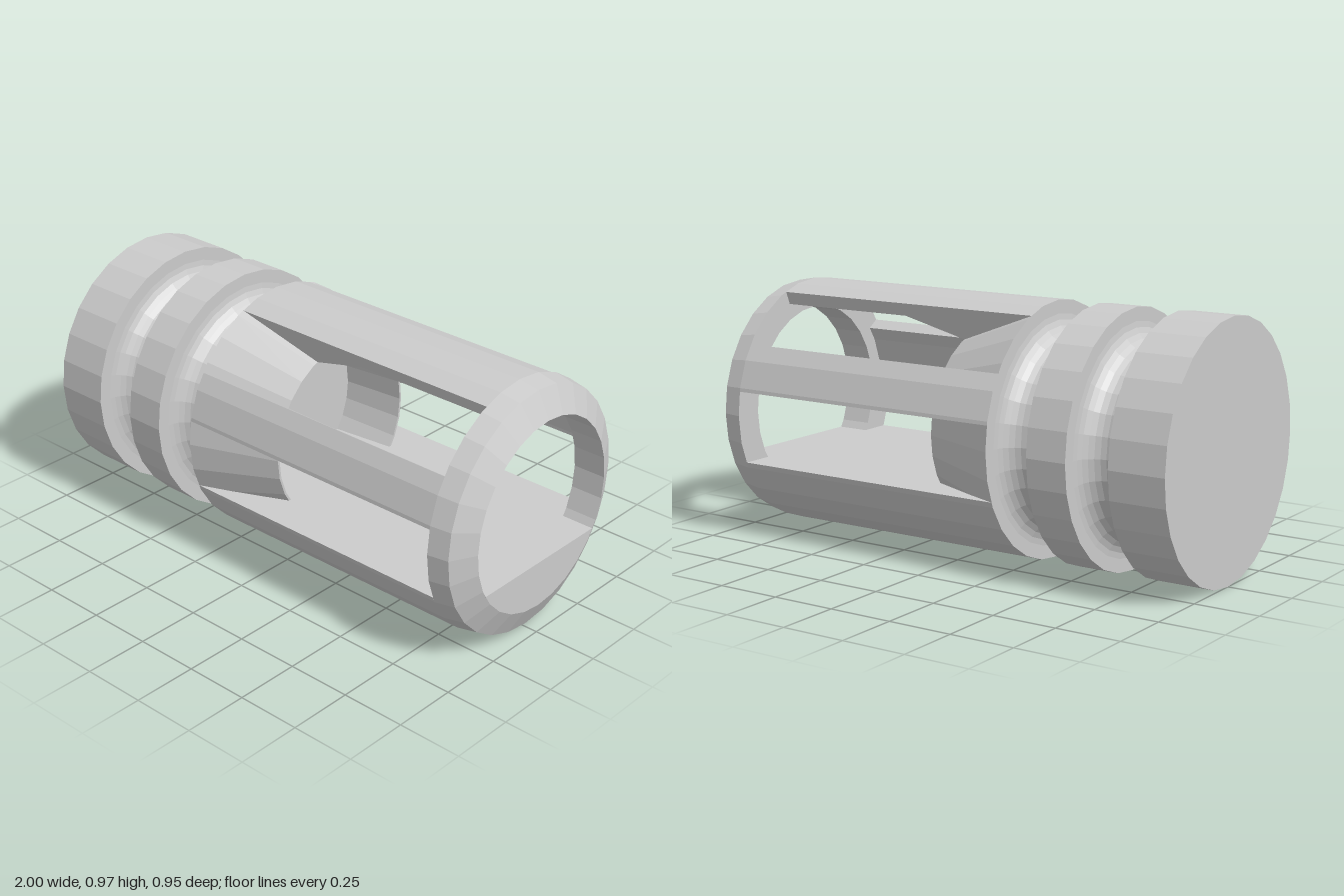
import * as THREE from 'three';

const SIDES = 28, STEP = (Math.PI * 2) / SIDES;
const AXIS_Y = 0.49, Z_SCALE = 0.975;
const R = 0.487;          // outer radius
const BORE = 0.3725;      // front opening radius
const FLOOR = -0.19;      // flat floor height relative to the axis
const rad = THREE.MathUtils.degToRad;

const material = new THREE.MeshStandardMaterial({ color: 0xcccccc, flatShading: true });

// Factor that keeps a point at any angle on the facets of the polygon
function facet(a) {
  const k = Math.floor(a / STEP + 1e-6);
  return Math.cos(STEP / 2) / Math.cos(a - (k + 0.5) * STEP);
}

// Angles from a0 to a1 with stops on every polygon corner
function anglesBetween(a0, a1) {
  const list = [a0];
  for (let k = Math.ceil(a0 / STEP + 1e-4); k * STEP < a1 - 1e-4; k++) list.push(k * STEP);
  list.push(a1);
  return list;
}

// Sweeps [x, radius] points around the x axis; angle 0 is up, +90 degrees is +z
function revolve(profile, angles, caps = false) {
  const pos = [];
  const point = ([x, r], a) => {
    const q = r * facet(a);
    return [x, q * Math.cos(a), q * Math.sin(a) * Z_SCALE];
  };
  const tri = (a, b, c) => pos.push(...a, ...b, ...c);
  for (let i = 0; i < profile.length - 1; i++) {
    for (let j = 0; j < angles.length - 1; j++) {
      const p = point(profile[i], angles[j]), q = point(profile[i], angles[j + 1]);
      const s = point(profile[i + 1], angles[j + 1]), t = point(profile[i + 1], angles[j]);
      if (profile[i][1] > 0) tri(p, q, s);
      if (profile[i + 1][1] > 0) tri(p, s, t);
    }
  }
  // End caps fan out from the first profile point
  if (caps) {
    const a0 = angles[0], a1 = angles[angles.length - 1];
    for (let i = 1; i < profile.length - 2; i++) {
      tri(point(profile[0], a0), point(profile[i], a0), point(profile[i + 1], a0));
      tri(point(profile[0], a1), point(profile[i + 1], a1), point(profile[i], a1));
    }
  }
  const geo = new THREE.BufferGeometry();
  geo.setAttribute('position', new THREE.Float32BufferAttribute(pos, 3));
  geo.computeVertexNormals();
  return geo;
}

// Solid circle segment below the floor line, from x0 to x1
function floorBlock(r, x0, x1) {
  const a = Math.acos(FLOOR / r);
  const pts = anglesBetween(a, Math.PI * 2 - a).map((t, i, all) => {
    const q = r * facet(t);
    const y = i === 0 || i === all.length - 1 ? FLOOR : q * Math.cos(t);
    return new THREE.Vector2(q * Math.sin(t) * Z_SCALE, y);
  });
  const geo = new THREE.ExtrudeGeometry(new THREE.Shape(pts), { depth: x1 - x0, bevelEnabled: false });
  return geo.rotateY(Math.PI / 2).translate(x0, 0, 0);
}

// Round-bottomed groove between x0 and x1
function groove(x0, x1) {
  const h = (x1 - x0) / 2, mid = (x0 + x1) / 2, pts = [[x0, R]];
  for (let i = 0; i <= 12; i++) {
    const t = (Math.PI * i) / 12;
    pts.push([mid - h * Math.cos(t), 0.435 - h * Math.sin(t)]);
  }
  pts.push([x1, R]);
  return pts;
}

export function createModel() {
  const model = new THREE.Group();
  model.name = 'slottedMuzzleDevice';
  const add = (name, geo) => {
    const mesh = new THREE.Mesh(geo, material);
    mesh.name = name;
    mesh.position.y = AXIS_Y;
    model.add(mesh);
  };
  const full = anglesBetween(0, Math.PI * 2);

  // Rear body with two grooves
  add('groovedBody', revolve(
    [[-1, 0], [-1, R], ...groove(-0.78, -0.61), ...groove(-0.45, -0.28)], full));

  // Cone at the slot roots with its blind bore
  add('innerCone', revolve(
    [[-0.28, R], [0.05, 0.355], [0.05, 0.346], [-0.2, 0.322], [-0.2, 0]], full));

  // Three bars between the slots
  const bar = [[0.3, 0.433], [0.05, 0.355], [-0.28, R], [0.87, R], [0.87, 0.433], [0.3, 0.433]];
  const bars = { topBar: [-22.3, 22.3], leftBar: [56.3, 78.8], rightBar: [-78.8, -56.3] };
  // The front of the model faces +z, so the bar at +z is the front one
  const names = { topBar: 'topBar', leftBar: 'frontBar', rightBar: 'backBar' };
  for (const key in bars) {
    const [a0, a1] = bars[key].map(rad);
    add(names[key], revolve(bar, anglesBetween(a0, a1), true));
  }

  // Chamfered ring at the open end
  add('endRing', revolve(
    [[0.87, BORE], [0.87, R], [0.95, 0.472], [1, BORE], [0.87, BORE]], full));

  // Solid lower part with a flat floor, reaching through the ring
  add('floor', floorBlock(R, -0.28, 0.87));
  add('floorFront', floorBlock(BORE, 0.87, 1));

  return model;
}
